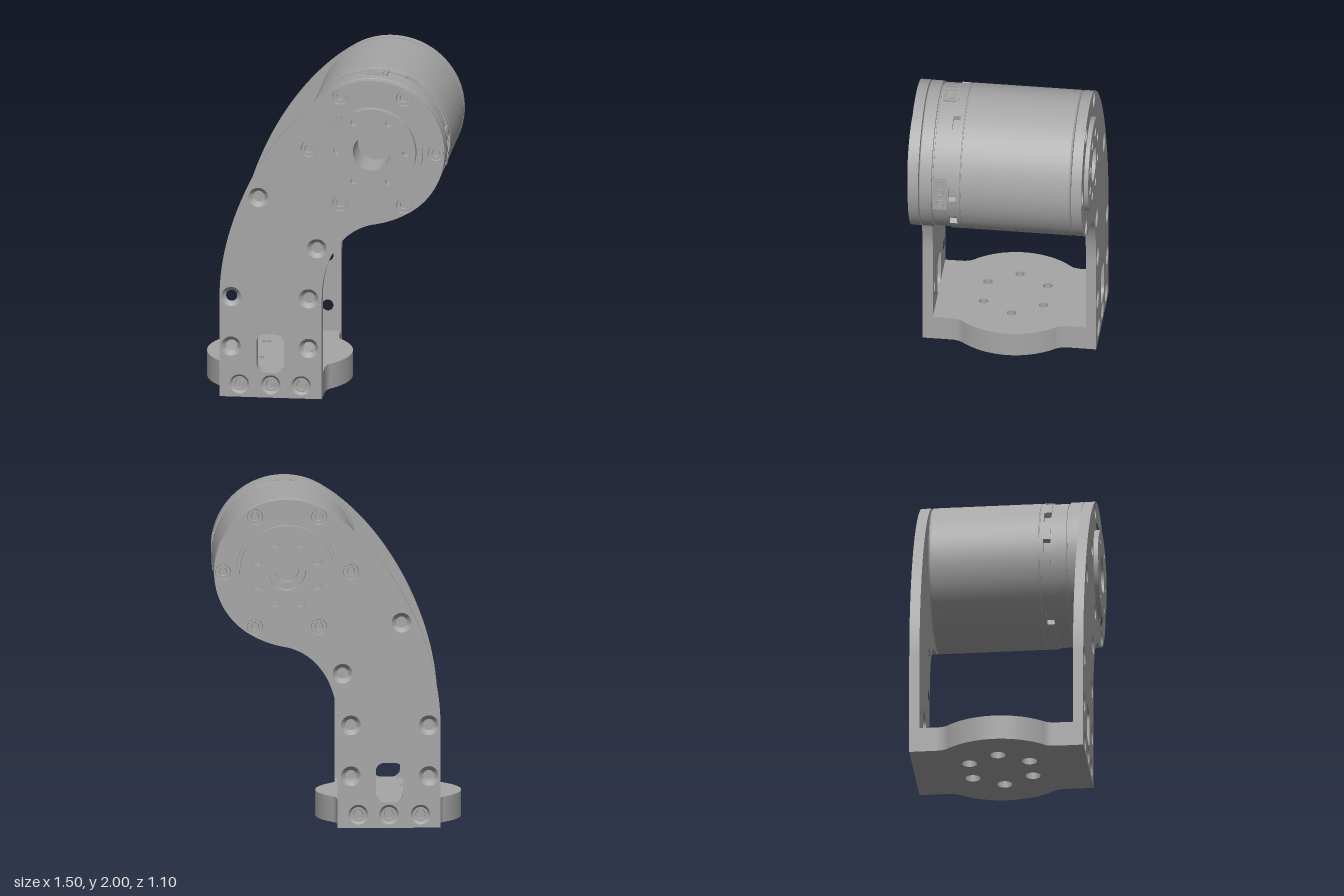
import * as THREE from 'three';
import { toCreasedNormals } from 'three/addons/utils/BufferGeometryUtils.js';

const CX = 0.305, CY = 1.56, R = 0.44; // motor axis and radius
const rad = THREE.MathUtils.degToRad;
const metal = new THREE.MeshStandardMaterial({ color: 0xa6a6a6 });
metal.name = 'grey metal';

function add(parent, name, geometry, x = 0, y = 0, z = 0) {
  const mesh = new THREE.Mesh(geometry, metal);
  mesh.name = name;
  mesh.position.set(x, y, z);
  parent.add(mesh);
  return mesh;
}

const circle = (x, y, r) => new THREE.Path().absarc(x, y, r, 0, Math.PI * 2, true);
const ring = (n, r, x, y, start = 0) => Array.from({ length: n }, (_, i) => {
  const a = rad(start + (360 / n) * i);
  return [x + r * Math.cos(a), y + r * Math.sin(a)];
});

function extrude(shape, holes, depth, curveSegments = 32) {
  shape.holes = holes;
  const g = new THREE.ExtrudeGeometry(shape, { depth, bevelEnabled: false, curveSegments });
  return toCreasedNormals(g, 0.5);
}

// Revolves [radius, z] points around the z axis
function turn(points, segments) {
  const g = new THREE.LatheGeometry(points.map(p => new THREE.Vector2(...p)), segments);
  return toCreasedNormals(g.rotateX(Math.PI / 2), 0.5);
}

function plateShape() {
  const s = new THREE.Shape();
  s.moveTo(-0.62, 0);
  s.lineTo(-0.62, 0.63);
  s.bezierCurveTo(-0.62, 1.1, -0.33, 1.69, 0.075, 1.935);
  s.absarc(CX, CY, R, 2.12, -1.083, true);
  s.quadraticCurveTo(0.42, 1.12, 0.3, 1.1);
  s.bezierCurveTo(0.1, 1.05, 0, 0.85, 0, 0.63);
  s.lineTo(0, 0);
  return s;
}

function windowPath() {
  const [l, r, b, t, c] = [-0.395, -0.23, 0.155, 0.395, 0.05];
  const p = new THREE.Path();
  p.moveTo(l + c, b);
  p.lineTo(r - c, b);
  p.absarc(r - c, b + c, c, -Math.PI / 2, 0);
  p.lineTo(r, t - c);
  p.absarc(r - c, t - c, c, 0, Math.PI / 2);
  p.lineTo(l + c, t);
  p.absarc(l + c, t - c, c, Math.PI / 2, Math.PI);
  p.lineTo(l, b + c);
  p.absarc(l + c, b + c, c, Math.PI, Math.PI * 1.5);
  return p;
}

// Side arm in two layers: wide holes outside, narrow holes inside
function sidePlate(name, side) {
  const group = new THREE.Group();
  group.name = name;
  const open = [[-0.55, 0.625], [-0.08, 0.625], [-0.55, 0.315], [-0.08, 0.315], [-0.385, 1.25], [-0.03, 0.94]];
  const baseScrews = [[-0.5, 0.08], [-0.31, 0.08], [-0.125, 0.08]];
  const motorScrews = ring(6, 0.386, CX, CY);
  const common = () => [windowPath(), circle(CX, CY, 0.31)];
  const wide = [...open, ...baseScrews].map(p => circle(...p, 0.06)).concat(motorScrews.map(p => circle(...p, 0.048)));
  const narrow = open.map(p => circle(...p, 0.034));
  const outer = extrude(plateShape(), [...common(), ...wide], 0.03);
  const inner = extrude(plateShape(), [...common(), ...narrow], 0.032);
  add(group, 'armOuterLayer', outer, 0, 0, side > 0 ? 0.497 : -0.527);
  add(group, 'armInnerLayer', inner, 0, 0, side > 0 ? 0.465 : -0.497);

  const sink = turn([[0.06, 0], [0.034, -0.03]], 24);
  const seat = turn([[0.06, 0], [0.045, -0.018], [0.03, -0.018], [0.027, -0.029], [0, -0.029]], 24);
  const head = turn([[0.048, 0], [0.045, -0.014], [0.025, -0.014], [0.022, -0.029], [0, -0.029]], 24);
  const place = (label, g, list) => list.forEach(([x, y]) => {
    add(group, label, g, x, y, side * 0.527).rotation.y = side > 0 ? 0 : Math.PI;
  });
  place('countersink', sink, open);
  place('baseScrew', seat, baseScrews);
  place('motorScrew', head, motorScrews);
  return group;
}

// Base slab with a rounded bulge on both sides
function baseShape() {
  const s = new THREE.Shape(), c = -0.315, r = 0.44, a = rad(40);
  const ex = r * Math.cos(a), ez = r * Math.sin(a);
  s.moveTo(-0.62, -0.465);
  s.lineTo(0, -0.465);
  s.lineTo(0, -0.37);
  s.quadraticCurveTo(0, -0.31, c + ex, -ez);
  s.absarc(c, 0, r, -a, a);
  s.quadraticCurveTo(0, 0.31, 0, 0.37);
  s.lineTo(0, 0.465);
  s.lineTo(-0.62, 0.465);
  s.lineTo(-0.62, 0.37);
  s.quadraticCurveTo(-0.62, 0.31, c - ex, ez);
  s.absarc(c, 0, r, Math.PI - a, Math.PI + a);
  s.quadraticCurveTo(-0.62, -0.31, -0.62, -0.37);
  return s;
}

function buildBase() {
  const group = new THREE.Group();
  group.name = 'base';
  const spots = ring(6, 0.21, -0.312, 0);
  const layer = (name, r, y, h) => add(group, name,
    extrude(baseShape(), spots.map(p => circle(...p, r)), h).rotateX(-Math.PI / 2), 0, y, 0);
  layer('baseLower', 0.046, 0, 0.07);
  layer('baseUpper', 0.028, 0.07, 0.085);
  return group;
}

// Motor, modelled about its own z axis
function buildMotor() {
  const m = new THREE.Group();
  m.name = 'motor';
  m.position.set(CX, CY, 0);
  add(m, 'housing', turn([
    [0, -0.4], [0.07, -0.4], [0.07, -0.47], [0.11, -0.47], [0.11, -0.5], [0.305, -0.5], [0.305, -0.46],
    [0.43, -0.46], [R, -0.45], [R, 0.206], [0.435, 0.208], [0.435, 0.212], [R, 0.214], [R, 0.235],
    [0.41, 0.235], [0.41, 0.28], [0.433, 0.28], [0.433, 0.373], [0.425, 0.375], [0.425, 0.383],
    [R, 0.385], [R, 0.455], [0.435, 0.46], [0.305, 0.46], [0.305, 0.5], [0.113, 0.5], [0.113, 0.3], [0, 0.3],
  ], 96));

  // Ring with cooling notches
  const notches = [0, 60, 120, 150, 180, 240, 300, 330].map(rad);
  const outline = Array.from({ length: 240 }, (_, i) => {
    const a = (i / 240) * Math.PI * 2;
    const cut = notches.some(n => Math.cos(a - n) > Math.cos(0.085));
    const r = cut ? 0.405 : R;
    return new THREE.Vector2(r * Math.cos(a), r * Math.sin(a));
  });
  add(m, 'notchedRing', extrude(new THREE.Shape(outline), [circle(0, 0, 0.39)], 0.045), 0, 0, 0.235);

  // Flanges at both ends, with bolt holes and a bore
  const disc = r => new THREE.Shape().absarc(0, 0, r, 0, Math.PI * 2);
  add(m, 'frontFlange', extrude(disc(0.267),
    [circle(0, 0, 0.113), ...ring(6, 0.21, 0, 0).map(p => circle(...p, 0.022))], 0.05, 64), 0, 0, 0.5);
  add(m, 'rearFlange', extrude(disc(0.285),
    [circle(0, 0, 0.11), ...ring(8, 0.195, 0, 0, 22.5).map(p => circle(...p, 0.03))], 0.05, 64), 0, 0, -0.55);

  // Small clips in the front groove
  ring(4, 0.288, 0, 0, 45).forEach(([x, y], i) => {
    add(m, 'clip', new THREE.BoxGeometry(0.036, 0.08, 0.012), x, y, 0.506).rotation.z = rad(45 + 90 * i);
    add(m, 'clipScrew', new THREE.CylinderGeometry(0.016, 0.016, 0.012, 16).rotateX(Math.PI / 2), x, y, 0.514);
  });

  // Socket on top
  const box = (name, w, h, d, x, y, z) => add(m, name, new THREE.BoxGeometry(w, h, d), x, y, z);
  for (const s of [-1, 1]) {
    box('socketSide', 0.014, 0.03, 0.095, 0.007 + s * 0.058, 0.425, 0.309);
    box('socketEnd', 0.13, 0.03, 0.01, 0.007, 0.425, 0.309 + s * 0.045);
  }
  box('socketTongue', 0.075, 0.03, 0.035, 0.007, 0.424, 0.312);
  box('socketLatch', 0.05, 0.03, 0.03, 0.007, 0.422, 0.258);

  // Terminal block on the left side
  box('terminalBlock', 0.03, 0.225, 0.08, 0.42, 0, 0.332);
  box('terminalPlug', 0.006, 0.045, 0.055, 0.436, 0.078, 0.332);
  for (const y of [-0.068, 0.01]) {
    add(m, 'terminalScrew', new THREE.TorusGeometry(0.023, 0.004, 8, 20).rotateY(Math.PI / 2), 0.435, y, 0.332);
    box('terminalCross', 0.006, 0.03, 0.006, 0.435, y, 0.332);
    box('terminalCross', 0.006, 0.006, 0.03, 0.435, y, 0.332);
  }
  return m;
}

export function createModel() {
  const model = new THREE.Group();
  model.name = 'motorBracket';
  model.add(buildBase(), sidePlate('frontArm', 1), sidePlate('rearArm', -1), buildMotor());
  return model;
}
